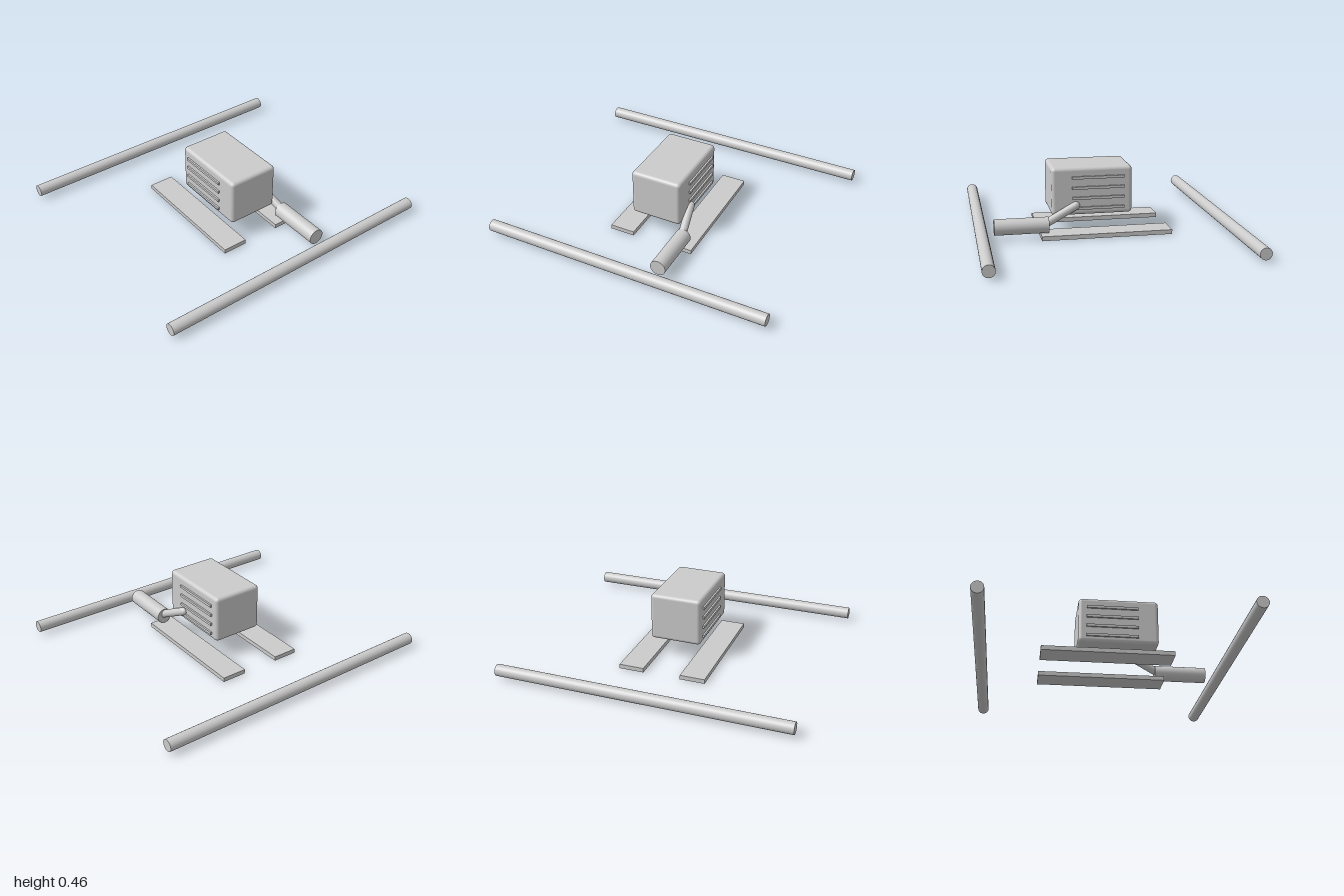
import * as THREE from 'three';
import { RoundedBoxGeometry } from 'three/addons/geometries/RoundedBoxGeometry.js';

const material = new THREE.MeshStandardMaterial({ color: 0xcccccc });

export function createModel() {
  const model = new THREE.Group();
  model.name = 'engineOnRails';

  const add = (name, geometry, x, y, z) => {
    const mesh = new THREE.Mesh(geometry, material);
    mesh.name = name;
    mesh.position.set(x, y, z);
    model.add(mesh);
    return mesh;
  };

  // Engine block with softened edges
  add('engineBlock', new RoundedBoxGeometry(0.356, 0.326, 0.55, 4, 0.025), -0.002, 0.294, 0.084);

  // Cooling fins on both sides
  const fin = new THREE.BoxGeometry(0.03, 0.018, 0.355);
  for (const side of [-1, 1])
    for (let i = 0; i < 4; i++)
      add('coolingFin', fin, -0.002 + side * 0.175, 0.178 + i * 0.07, 0.042);

  // Flat mounting skids and long cross rails
  const skid = new THREE.BoxGeometry(0.172, 0.03, 0.884);
  const rail = new THREE.CylinderGeometry(0.04, 0.04, 2, 32);
  for (const side of [-1, 1]) {
    add('mountingSkid', skid, side * 0.216, 0.015, 0);
    add('crossRail', rail, 0, 0.057, side * 0.835).rotation.z = Math.PI / 2;
  }

  // Muffler lying along z
  add('muffler', new THREE.CylinderGeometry(0.054, 0.054, 0.362, 32), 0.22, 0.087, 0.569)
    .rotation.x = Math.PI / 2;

  // Exhaust pipe from the block down into the muffler, with a rounded elbow
  const start = new THREE.Vector3(0.178, 0.198, 0.197);
  const end = new THREE.Vector3(0.22, 0.089, 0.42);
  const pipe = new THREE.TubeGeometry(new THREE.LineCurve3(start, end), 1, 0.028, 20);
  add('exhaustPipe', pipe, 0, 0, 0);
  add('exhaustElbow', new THREE.SphereGeometry(0.028, 20, 14), start.x, start.y, start.z);

  return model;
}
